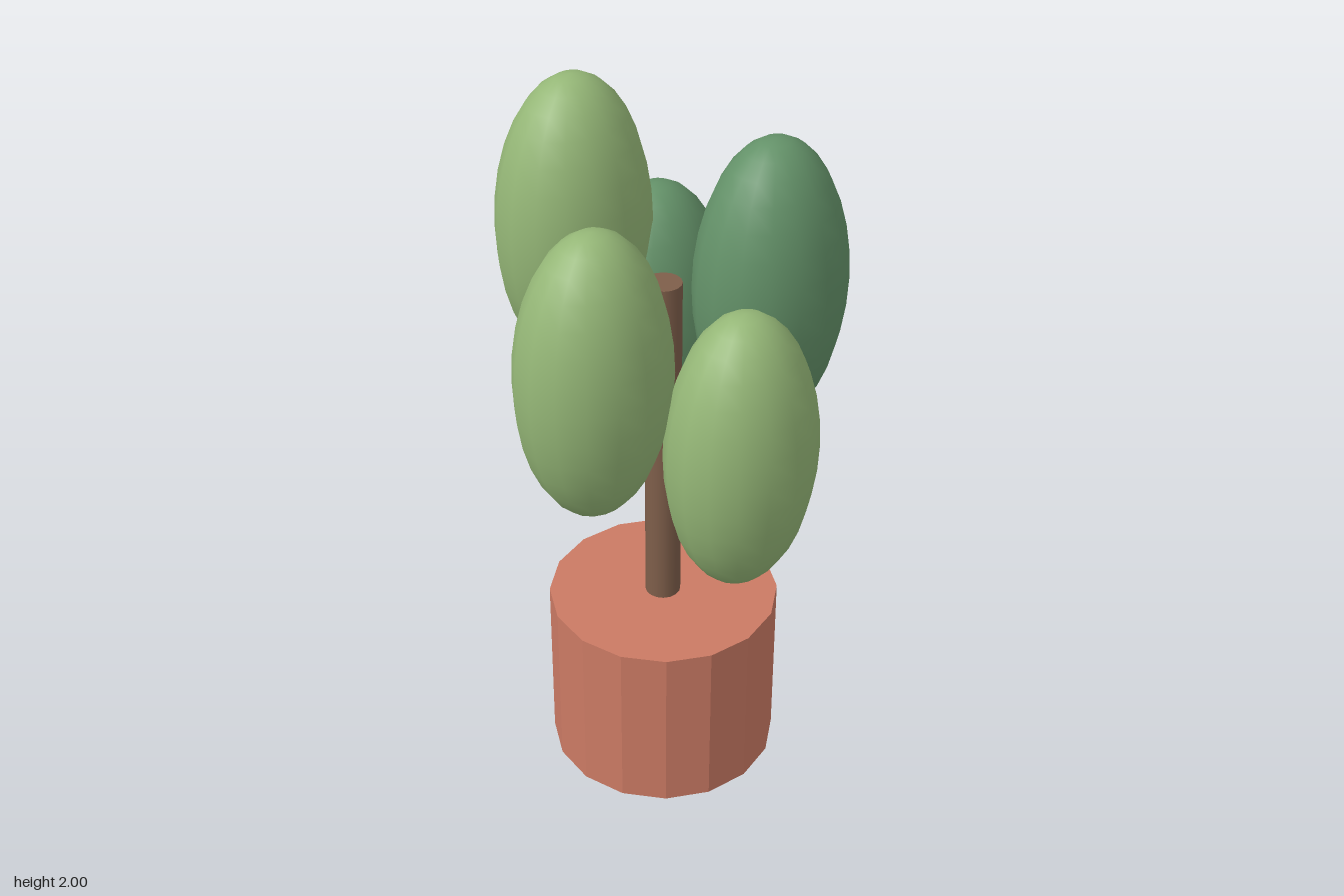
import * as THREE from 'three';

const material = (name, color, flatShading = false) => {
  const m = new THREE.MeshStandardMaterial({ color, flatShading });
  m.name = name;
  return m;
};

export function createModel() {
  const tree = new THREE.Group();
  tree.name = 'pottedTree';

  const terracotta = material('terracotta', 0xcb7a64, true);
  const bark = material('bark brown', 0x7e5e4a);
  const lightLeaf = material('light green', 0x95b777);
  const darkLeaf = material('dark green', 0x649269);

  const add = (name, geometry, mat, x, y, z) => {
    const mesh = new THREE.Mesh(geometry, mat);
    mesh.name = name;
    mesh.position.set(x, y, z);
    tree.add(mesh);
  };

  // Faceted pot and the trunk rising out of it
  const axisX = 0.025, potHeight = 0.51, trunkTop = 1.5;
  add('pot', new THREE.CylinderGeometry(0.32, 0.32, potHeight, 16), terracotta, axisX, potHeight / 2, 0);
  add('trunk', new THREE.CylinderGeometry(0.049, 0.049, trunkTop - potHeight, 16), bark,
    axisX, (trunkTop + potHeight) / 2, -0.002);

  // Tall egg-shaped foliage clumps spiralling around the trunk
  const clump = new THREE.SphereGeometry(1, 16, 16).scale(0.22, 0.407, 0.187);
  const clumps = [
    ['foliageBack', lightLeaf, -0.022, 1.593, -0.275],
    ['foliageFrontLeft', darkLeaf, 0.247, 1.473, 0.165],
    ['foliageRight', lightLeaf, -0.25, 1.353, 0.02],
    ['foliageBackLeft', darkLeaf, 0.213, 1.232, -0.208],
    ['foliageFront', lightLeaf, 0.027, 1.112, 0.273],
  ];
  for (const [name, mat, x, y, z] of clumps) add(name, clump, mat, x, y, z);

  return tree;
}
